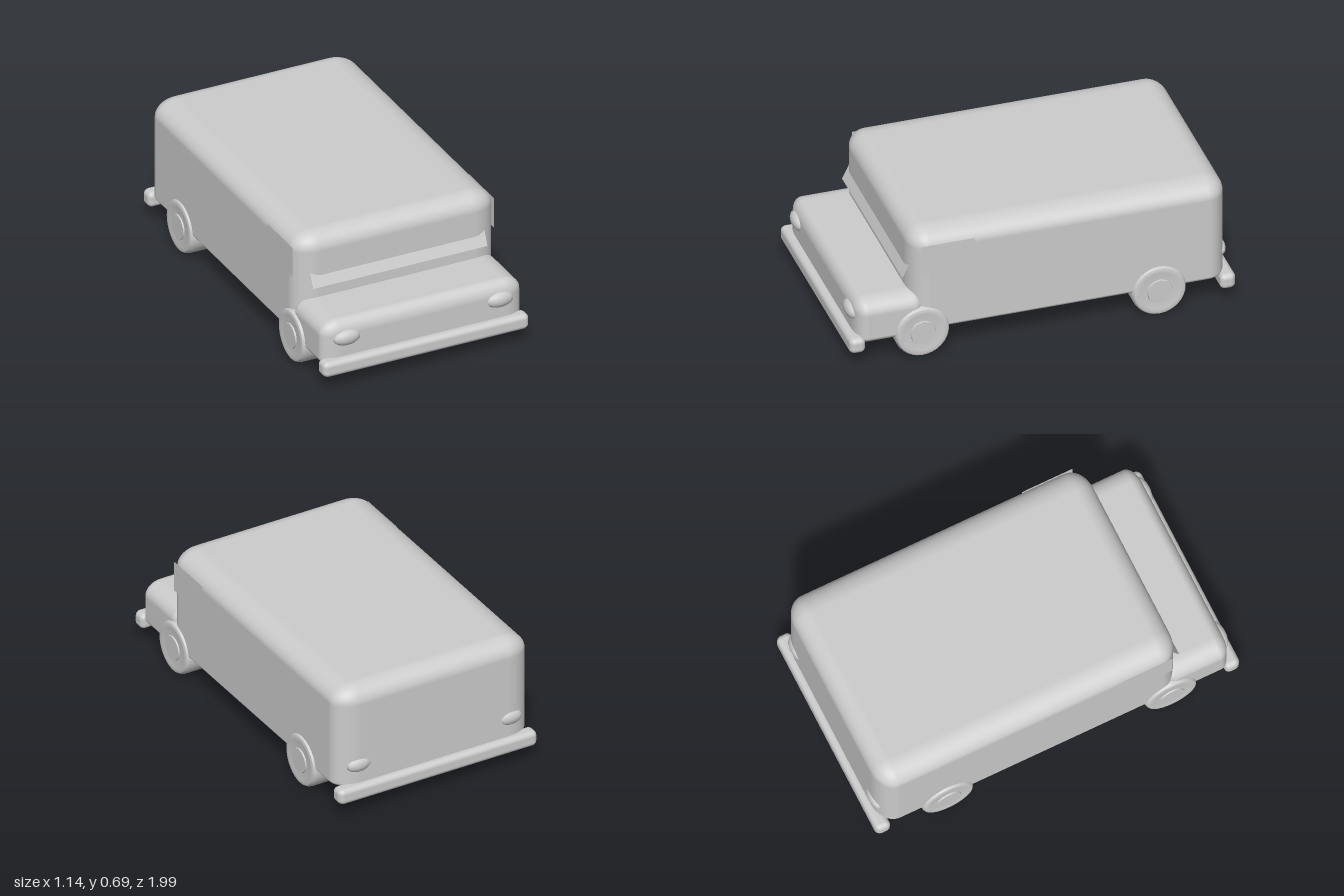
import * as THREE from 'three';
import { RoundedBoxGeometry } from 'three/addons/geometries/RoundedBoxGeometry.js';
import { toCreasedNormals } from 'three/addons/utils/BufferGeometryUtils.js';

const paint = new THREE.MeshStandardMaterial({ color: 0xcccccc, side: THREE.DoubleSide });
paint.name = 'light grey';

export function createModel() {
  const model = new THREE.Group();
  model.name = 'van';

  function add(name, geometry, x = 0, y = 0, z = 0, parent = model) {
    const mesh = new THREE.Mesh(geometry, paint);
    mesh.name = name;
    mesh.position.set(x, y, z);
    parent.add(mesh);
    return mesh;
  }

  // Box with its own corner radius along each axis; "low" flattens the bottom rounding
  function softBox(w, h, d, rx, ry, rz, low = 1) {
    const g = new RoundedBoxGeometry(w / rx, h / ry, d / rz, 6, 1).scale(rx, ry, rz);
    const p = g.attributes.position, n = g.attributes.normal;
    const edge = -h / 2 + ry, v = new THREE.Vector3();
    for (let i = 0; i < p.count; i++) {
      if (p.getY(i) > edge + 1e-6) continue;
      p.setY(i, -h / 2 + (p.getY(i) + h / 2) * low);
      v.fromBufferAttribute(n, i);
      v.y /= low;
      v.normalize();
      n.setXYZ(i, v.x, v.y, v.z);
    }
    return g;
  }

  // Cabin and hood
  add('body', softBox(1.104, 0.573, 1.635, 0.13, 0.09, 0.1, 0.45), 0, 0.4085, -0.1425);
  add('hood', softBox(1.1, 0.247, 0.36, 0.1, 0.075, 0.06, 0.6), 0, 0.2285, 0.775);

  // Windshield leans back into the cabin
  const lean = Math.atan2(0.1, 0.21);
  const windshield = add('windshield', new THREE.PlaneGeometry(0.956, 0.233), 0, 0.525, 0.65);
  windshield.rotation.x = -lean;

  // Wheel profile along its axle, from the inner to the outer face
  const profile = [[0, 0], [0.13, 0], [0.14, 0.008], [0.14, 0.095], [0.137, 0.108],
    [0.13, 0.118], [0.118, 0.122], [0.105, 0.12], [0.066, 0.118], [0, 0.118]]
    .map(([r, a]) => new THREE.Vector2(r, a));
  const tyre = toCreasedNormals(new THREE.LatheGeometry(profile, 32), 0.6);
  const hub = toCreasedNormals(new THREE.CylinderGeometry(0.064, 0.068, 0.012, 12), 0.6);

  for (const side of [-1, 1]) {
    const label = side > 0 ? 'left' : 'right';

    // Side windows
    const pane = add(label + 'Window', new THREE.PlaneGeometry(0.275, 0.165), side * 0.553, 0.548, 0.4875);
    pane.rotation.y = side * Math.PI / 2;

    // Wheels
    for (const [end, z] of [['Front', 0.62], ['Rear', -0.6]]) {
      const wheel = new THREE.Group();
      wheel.name = label + end + 'Wheel';
      wheel.position.set(side * 0.443, 0.14, z);
      wheel.rotation.z = -side * Math.PI / 2;
      add('tyre', tyre, 0, 0, 0, wheel);
      add('hub', hub, 0, 0.119, 0, wheel);
      model.add(wheel);
    }

    // Lamps
    const lamp = new THREE.SphereGeometry(1, 14, 10);
    add(label + 'Headlight', lamp, side * 0.42, 0.26, 0.947).scale.set(0.075, 0.042, 0.034);
    add(label + 'TailLight', lamp, side * 0.43, 0.26, -0.945).scale.set(0.068, 0.04, 0.03);
  }

  // Bumpers, bowed slightly back towards their ends
  for (const [name, dir] of [['frontBumper', 1], ['rearBumper', -1]]) {
    const g = new RoundedBoxGeometry(1.13, 0.09, 0.08, 5, 0.028);
    const p = g.attributes.position;
    for (let i = 0; i < p.count; i++) {
      const t = Math.max(0, Math.abs(p.getX(i)) - 0.5) / 0.065;
      p.setZ(i, p.getZ(i) - dir * 0.008 * t);
      p.setY(i, p.getY(i) * (1 - 0.12 * t));
    }
    add(name, g, 0, 0.12, dir * 0.96);
  }

  return model;
}
